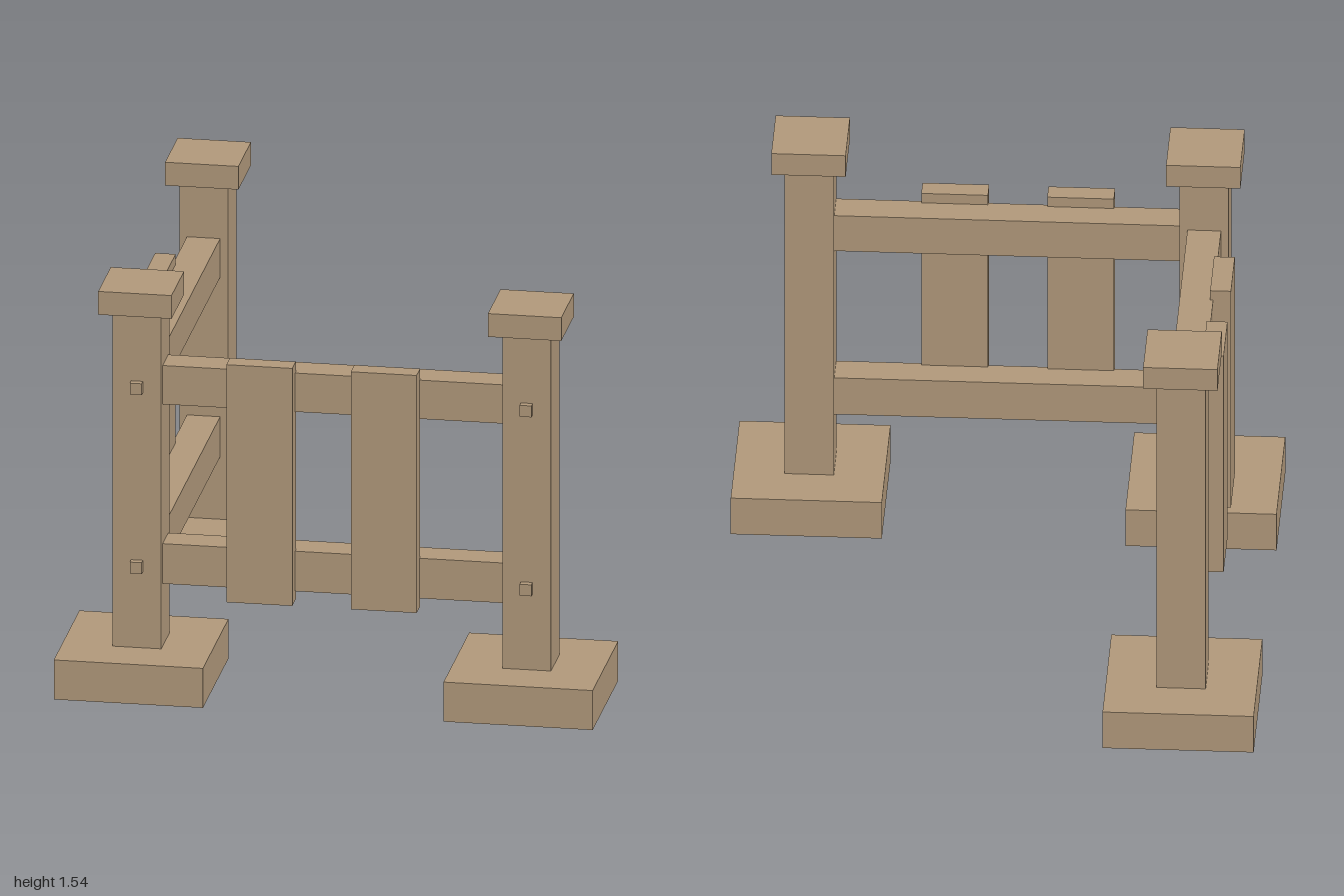
import * as THREE from 'three';

export function createModel() {
  const model = new THREE.Group();
  model.name = 'cornerFence';
  const wood = new THREE.MeshStandardMaterial({ color: 0xb0987a });
  wood.name = 'wood';

  // Box given by its minimum and maximum corners
  function box(parent, name, [x0, y0, z0], [x1, y1, z1]) {
    const mesh = new THREE.Mesh(new THREE.BoxGeometry(x1 - x0, y1 - y0, z1 - z0), wood);
    mesh.position.set((x0 + x1) / 2, (y0 + y1) / 2, (z0 + z1) / 2);
    mesh.name = name;
    parent.add(mesh);
  }

  const P = 0.7225; // post centre distance
  const RAILS = [[0.395, 0.55], [1.09, 1.24]];

  // Posts with footing, cap and (front pair only) bolts
  for (const [name, x, z] of [['corner', -P, P], ['left', P, P], ['back', -P, -P]]) {
    const post = new THREE.Group();
    post.name = name + 'Post';
    const column = (part, half, y0, y1) =>
      box(post, part, [x - half, y0, z - half], [x + half, y1, z + half]);
    column('footing', 0.2765, 0, 0.153);
    column('shaft', 0.09, 0.153, 1.45);
    column('cap', 0.136, 1.45, 1.54);
    if (z > 0) {
      for (const y of [0.47, 1.163]) {
        box(post, 'bolt', [x - 0.022, y - 0.022, z + 0.08], [x + 0.022, y + 0.022, 0.84]);
      }
    }
    model.add(post);
  }

  // Front panel: rails along x, slats on the outer face
  const front = new THREE.Group();
  front.name = 'frontPanel';
  for (const [y0, y1] of RAILS) box(front, 'rail', [-0.64, y0, 0.66], [0.64, y1, 0.782]);
  for (const x of [-0.263, 0.198]) {
    box(front, 'slat', [x - 0.122, 0.36, 0.77], [x + 0.122, 1.28, 0.846]);
  }

  // Side panel: rails along z, slats on the outer face
  const side = new THREE.Group();
  side.name = 'sidePanel';
  for (const [y0, y1] of RAILS) box(side, 'rail', [-0.785, y0, -0.64], [-0.662, y1, 0.64]);
  for (const z of [-0.202, 0.26]) {
    box(side, 'slat', [-0.85, 0.36, z - 0.122], [-0.774, 1.28, z + 0.122]);
  }

  model.add(front, side);
  return model;
}
